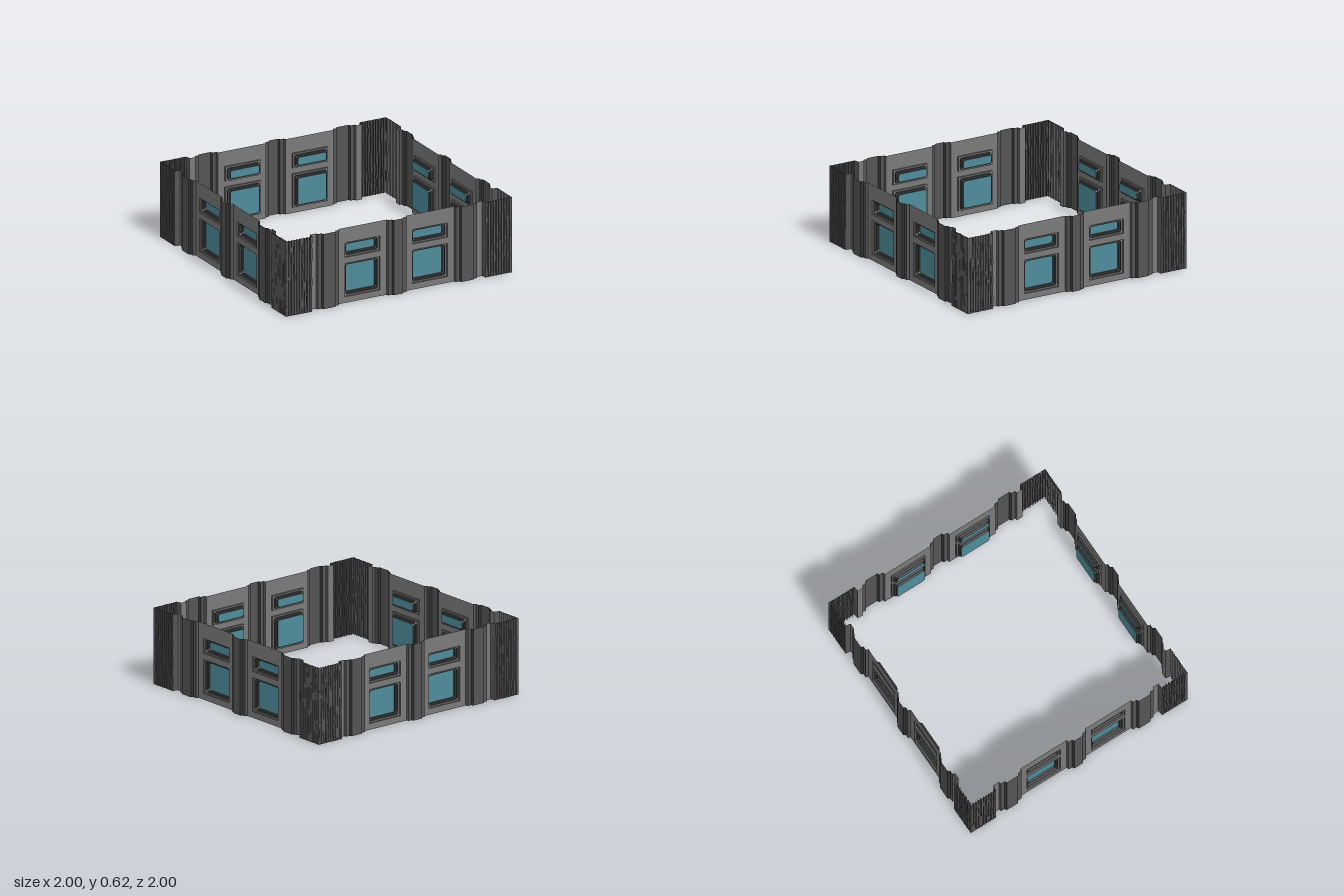
import * as THREE from 'three';

const H = 0.62, WALL = 0.955;

// Flat-shaded sheet through rows of [x, y, z] points
function sheet(rows, material, name) {
  const pos = [], idx = [], n = rows[0].length;
  rows.forEach(r => r.forEach(p => pos.push(...p)));
  for (let j = 0; j < rows.length - 1; j++) {
    for (let i = 0; i < n - 1; i++) {
      const a = j * n + i, b = a + n;
      idx.push(a, a + 1, b + 1, a, b + 1, b);
    }
  }
  const indexed = new THREE.BufferGeometry();
  indexed.setAttribute('position', new THREE.Float32BufferAttribute(pos, 3));
  indexed.setIndex(idx);
  const geometry = indexed.toNonIndexed();
  geometry.computeVertexNormals();
  const mesh = new THREE.Mesh(geometry, material);
  mesh.name = name;
  return mesh;
}

// Upright strip following a plan profile of [x, z] points
const upright = (profile, material, name) =>
  sheet([0, H].map(y => profile.map(([x, z]) => [x, y, z])), material, name);

// Rectangle corners, counter-clockwise, inset by d and chamfered by c
function loop([x0, x1, y0, y1], d, c) {
  const l = x0 + d, r = x1 - d, b = y0 + d, t = y1 - d;
  return [[l + c, b], [r - c, b], [r, b + c], [r, t - c], [r - c, t], [l + c, t], [l, t - c], [l, b + c]];
}

const outline = points => points.map(([x, y]) => new THREE.Vector2(x, y));

export function createModel() {
  const mat = (name, color) => {
    const m = new THREE.MeshStandardMaterial({ color, side: THREE.DoubleSide });
    m.name = name;
    return m;
  };
  const wallGrey = mat('wall grey', 0x7a7a7a);
  const stoneGrey = mat('stone grey', 0x545454);
  const trimGrey = mat('trim grey', 0x585858);
  const grooveGrey = mat('groove grey', 0x323232);
  const glassBlue = mat('glass blue', 0x4e8c9a);

  // Window recessed in steps behind the wall, with glass at the back
  function makeWindow(rect) {
    const group = new THREE.Group();
    group.name = 'window';
    const ring = (d, c, z) => {
      const p = loop(rect, d, c).map(([x, y]) => [x, y, z]);
      return [...p, p[0]];
    };
    const steps = [
      [0, 0, WALL, trimGrey], [0, 0, 0.94, wallGrey],
      [0.012, 0.012, 0.94, grooveGrey], [0.015, 0.012, 0.925, trimGrey],
      [0.024, 0.012, 0.925, grooveGrey], [0.027, 0.012, 0.91],
    ];
    for (let i = 0; i < steps.length - 1; i++) {
      const [a, b] = [steps[i], steps[i + 1]];
      group.add(sheet([ring(a[0], a[1], a[2]), ring(b[0], b[1], b[2])], a[3], 'windowFrameStep'));
    }
    const glass = new THREE.Mesh(new THREE.ShapeGeometry(new THREE.Shape(outline(loop(rect, 0.027, 0.012)))), glassBlue);
    glass.position.z = 0.91;
    glass.name = 'windowGlass';
    group.add(glass);
    return group;
  }

  // Wall bay pierced by a small window above a large one
  function makeBay(x0, x1, w0, w1) {
    const bay = new THREE.Group();
    bay.name = 'windowBay';
    const shape = new THREE.Shape(outline([[x0, 0], [x1, 0], [x1, H], [x0, H]]));
    for (const [y0, y1] of [[0.05, 0.325], [0.375, 0.495]]) {
      const rect = [w0, w1, y0, y1];
      shape.holes.push(new THREE.Path(outline(loop(rect, 0, 0).filter((p, i) => i % 2 === 0))));
      bay.add(makeWindow(rect));
    }
    const panel = new THREE.Mesh(new THREE.ShapeGeometry(shape), wallGrey);
    panel.position.z = WALL;
    panel.name = 'wallPanel';
    bay.add(panel);
    return bay;
  }

  // Stepped pilaster bulging outward, with dark sloped sides on its core
  function makePilaster(cx, hw, core) {
    const group = new THREE.Group();
    group.name = 'pilaster';
    const flank = 0.975, front = 0.993;
    const add = (pts, m, name) => group.add(upright(pts.map(([x, z]) => [cx + x, z]), m, name));
    add([[-hw, WALL], [-hw + 0.006, flank], [-core, flank]], stoneGrey, 'pilasterFlank');
    add([[-core, flank], [-core + 0.011, front]], grooveGrey, 'pilasterGroove');
    add([[-core + 0.011, front], [core - 0.011, front]], stoneGrey, 'pilasterCore');
    add([[core - 0.011, front], [core, flank]], grooveGrey, 'pilasterGroove');
    add([[core, flank], [hw - 0.006, flank], [hw, WALL]], stoneGrey, 'pilasterFlank');
    return group;
  }

  // Pleated rough stone corner; folds wander sideways as they rise
  let seed = 7;
  const rand = () => (seed = (seed * 16807) % 2147483647) / 2147483647 - 0.5;
  function makeCorner() {
    const folds = 10, start = 0.768, pitch = (1 - start) / folds;
    const half = [[0.76, WALL, 0], [0.765, 0.985, 0.006]];
    for (let i = 0; i < folds; i++) {
      const x = start + i * pitch;
      half.push([x, 1, 0.006], [x + pitch * 0.7, 0.998, 0.006], [x + pitch * 0.8, 0.985, 0.006]);
    }
    const path = [
      ...half.map(([x, z, j]) => [x, z, j, 0]), [1, 1, 0, 0],
      ...half.slice().reverse().map(([x, z, j]) => [z, x, 0, j]),
    ];
    const rows = [];
    for (let r = 0; r <= 8; r++) {
      let k = 0;
      rows.push(path.map(([x, z, jx, jz], i) => {
        if (i % 3 === 0) k = rand();
        return [Math.min(1, x + jx * k), r * H / 8, Math.min(1, z + jz * k)];
      }));
    }
    return sheet(rows, stoneGrey, 'stoneCorner');
  }

  // One side of the square, repeated around the centre
  const model = new THREE.Group();
  model.name = 'buildingStorey';
  for (let q = 0; q < 4; q++) {
    const side = new THREE.Group();
    side.name = 'wallSide';
    for (const s of [-1, 1]) {
      const [x0, x1] = [s * 0.085, s * 0.51].sort((a, b) => a - b);
      const [w0, w1] = [s * 0.143, s * 0.452].sort((a, b) => a - b);
      side.add(makeBay(x0, x1, w0, w1), makePilaster(s * 0.61, 0.1, 0.063));
      const [e0, e1] = [s * 0.71, s * 0.762].sort((a, b) => a - b);
      side.add(upright([[e0, WALL], [e1, WALL]], wallGrey, 'wallEnd'));
    }
    side.add(makePilaster(0, 0.085, 0.05), makeCorner());
    side.rotation.y = q * Math.PI / 2;
    model.add(side);
  }
  return model;
}
